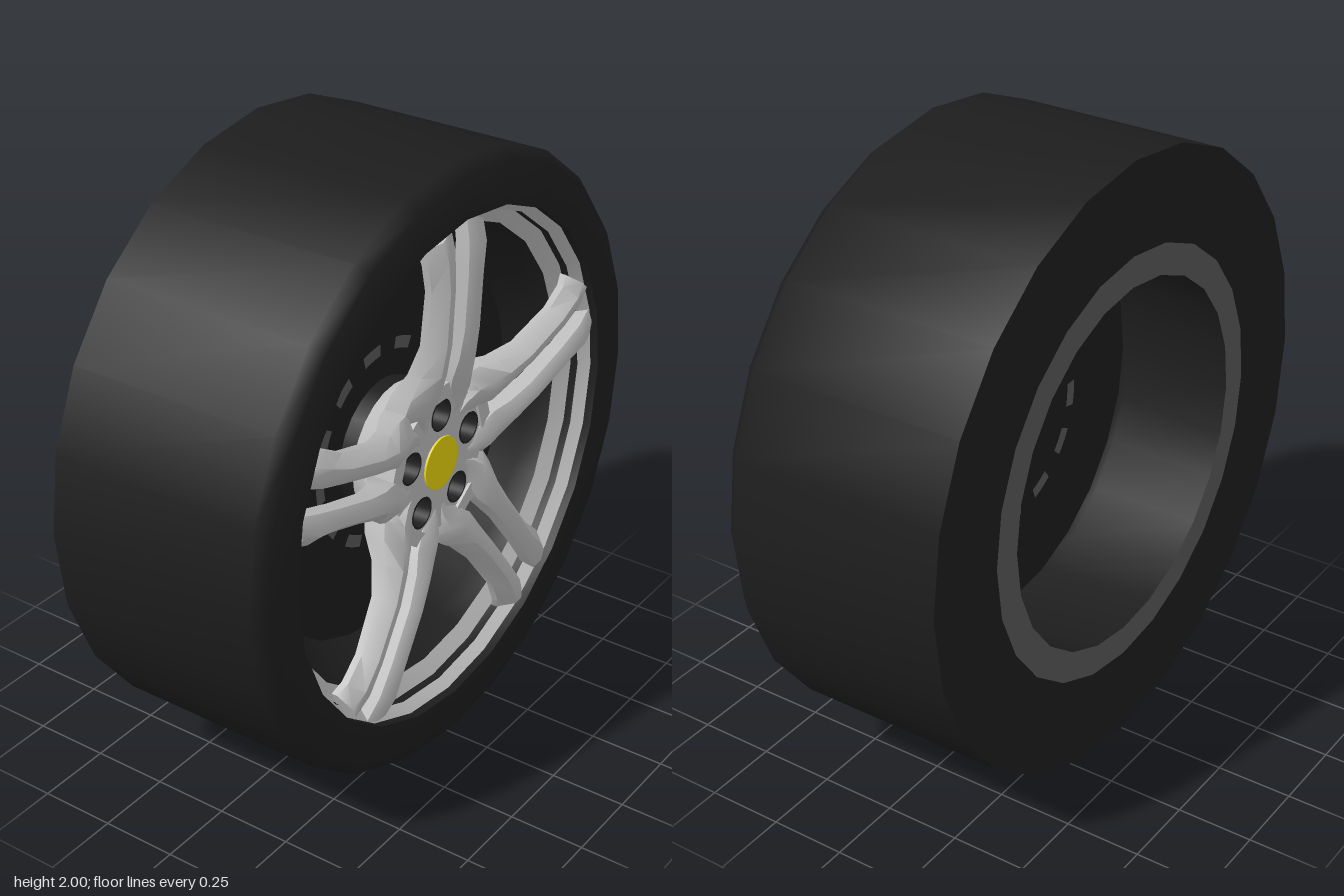
import * as THREE from 'three';
import { toCreasedNormals } from 'three/addons/utils/BufferGeometryUtils.js';

const paint = (name, color) => {
  const m = new THREE.MeshStandardMaterial({ color });
  m.name = name;
  return m;
};

export function createModel() {
  const rubber = paint('black rubber', 0x1d1d1d);
  const alloy = paint('silver alloy', 0xbcbcbc);
  const dark = paint('dark barrel', 0x1e1e1e);
  const iron = paint('brake iron', 0x1c1c1c);
  const grey = paint('mid grey', 0x585858);
  const yellow = paint('yellow cap', 0xe6d20a);

  // The wheel is built facing +z and turned to face +x at the end.
  const wheel = new THREE.Group();
  wheel.name = 'wheel';
  const add = (name, geo, mat, parent = wheel) => {
    const mesh = new THREE.Mesh(geo, mat);
    mesh.name = name;
    parent.add(mesh);
    return mesh;
  };

  // Turned part from [radius, z] points
  const turned = (points, crease = 0.6) => {
    const geo = new THREE.LatheGeometry(points.map(p => new THREE.Vector2(p[0], p[1])), 24);
    geo.rotateX(Math.PI / 2);
    return toCreasedNormals(geo, crease);
  };
  // Cylinder lying along z
  const disc = (r, z0, z1, sides = 24, r0 = r) => {
    const geo = new THREE.CylinderGeometry(r, r0, z1 - z0, sides);
    geo.rotateX(Math.PI / 2);
    geo.translate(0, 0, (z0 + z1) / 2);
    return geo;
  };

  // Tyre and rim: two silver bands with a dark groove between
  add('tyre', turned([[0.7, -0.38], [1, -0.38], [1, 0.332], [0.965, 0.373], [0.828, 0.373], [0.828, 0.33]], 0.9), rubber);
  add('rimLip', turned([[0.832, 0.35], [0.802, 0.31]]), alloy);
  add('rimGroove', turned([[0.802, 0.31], [0.8, 0.285]]), dark);
  add('rimInnerBand', turned([[0.8, 0.285], [0.752, 0.25]]), alloy);
  add('barrel', turned([[0.752, 0.25], [0.735, 0.17], [0.655, 0.07], [0.645, 0.02], [0.6, -0.38]]), dark);
  add('backFlange', turned([[0.6, -0.38], [0.7, -0.38]]), grey);

  // Brake disc, its hat and the vent slots on both faces, clear of the caliper
  add('brakeDisc', disc(0.655, 0.045, 0.075), iron);
  add('discHat', disc(0.22, 0.075, 0.2), iron);
  for (let i = 0; i < 8; i++) {
    const slot = new THREE.RingGeometry(0.305, 0.345, 5, 1, 1.1 + i * 0.5, 0.26);
    add('ventSlotFront', slot, grey).position.z = 0.078;
    const backSlot = new THREE.RingGeometry(0.305, 0.345, 5, 1, -1.36 - i * 0.5, 0.26);
    const back = add('ventSlotBack', backSlot, grey);
    back.rotation.x = Math.PI;
    back.position.z = 0.042;
  }

  // Caliper: a circle segment cut by a shallow curve
  const caliperShape = new THREE.Shape();
  caliperShape.moveTo(0.5, -0.39);
  caliperShape.absarc(0, 0, 0.645, -0.66, 1.02, false);
  caliperShape.quadraticCurveTo(0.37, 0.1, 0.5, -0.39);
  const caliper = new THREE.ExtrudeGeometry(caliperShape, { depth: 0.04, bevelEnabled: false, curveSegments: 10 });
  add('caliper', caliper, iron).position.z = 0.075;

  // Dished hub plate with five lug holes, and a cone behind it
  const lugs = [0, 1, 2, 3, 4].map(i => Math.PI / 2 + i * Math.PI * 2 / 5);
  const hubShape = new THREE.Shape();
  hubShape.absarc(0, 0, 0.235, 0, Math.PI * 2, false);
  for (const a of lugs) {
    const hole = new THREE.Path();
    hole.absarc(0.165 * Math.cos(a), 0.165 * Math.sin(a), 0.052, 0, Math.PI * 2, true);
    hubShape.holes.push(hole);
  }
  const hub = new THREE.ExtrudeGeometry(hubShape, { depth: 0.1, curveSegments: 20, bevelEnabled: false });
  add('hub', toCreasedNormals(hub, 0.6), alloy).position.z = 0.195;
  add('hubCone', disc(0.25, 0.1, 0.195, 24, 0.21), alloy);
  add('centreCap', disc(0.087, 0.27, 0.302), yellow);

  // Dark lined lug recesses with a nut and stud in each
  const lining = turned([[0.053, 0.297], [0.047, 0.297], [0.047, 0.22], [0, 0.22]]);
  for (const a of lugs) {
    const lug = new THREE.Group();
    lug.name = 'lug';
    lug.position.set(0.165 * Math.cos(a), 0.165 * Math.sin(a), 0);
    add('lugRecess', lining, dark, lug);
    add('lugNut', disc(0.026, 0.22, 0.255, 6), iron, lug);
    add('lugStud', disc(0.012, 0.25, 0.259, 8), grey, lug);
    wheel.add(lug);
  }

  // One spoke, lofted along y; stations: y inner, y outer, x inner, x outer, z top, z base
  const stations = [
    [0.13, 0.13, 0.056, 0.1, 0.292, 0.22],
    [0.17, 0.17, 0.056, 0.135, 0.304, 0.21],
    [0.23, 0.22, 0.04, 0.17, 0.322, 0.2],
    [0.28, 0.28, 0.025, 0.158, 0.337, 0.22],
    [0.35, 0.35, 0.034, 0.132, 0.355, 0.26],
    [0.45, 0.45, 0.037, 0.12, 0.37, 0.295],
    [0.63, 0.63, 0.037, 0.12, 0.378, 0.31],
    [0.74, 0.72, 0.037, 0.14, 0.378, 0.31],
    [0.828, 0.765, 0.043, 0.147, 0.36, 0.295],
  ];
  const spokeGeometry = side => {
    const pos = [], index = [], n = 6;
    for (const [yi, yo, xi, xo, zt, zb] of stations) {
      const section = [[0, zb], [0, zt - 0.02], [0.3, zt], [0.6, zt], [1, zt - 0.045], [1, zb]];
      for (const [t, z] of section) {
        pos.push(side * (xi + (xo - xi) * t), yi + (yo - yi) * t, z);
      }
    }
    const tri = (a, b, c) => (side > 0 ? index.push(a, b, c) : index.push(a, c, b));
    const last = (stations.length - 1) * n;
    for (let i = 0; i < last; i += n) {
      for (let j = 0; j < n; j++) {
        const k = (j + 1) % n;
        tri(i + j, i + k, i + n + j);
        tri(i + k, i + n + k, i + n + j);
      }
    }
    for (let j = 1; j < n - 1; j++) {
      tri(0, j + 1, j);
      tri(last, last + j, last + j + 1);
    }
    const geo = new THREE.BufferGeometry();
    geo.setAttribute('position', new THREE.Float32BufferAttribute(pos, 3));
    geo.setIndex(index);
    return toCreasedNormals(geo, 0.75);
  };
  const right = spokeGeometry(1), left = spokeGeometry(-1);

  // Five pairs of spokes, each with a web closing the slot at the hub
  const web = new THREE.BoxGeometry(0.11, 0.05, 0.1);
  web.translate(0, 0.245, 0.255);
  for (const a of lugs) {
    const pair = new THREE.Group();
    pair.name = 'spokePair';
    add('spokeRight', right, alloy, pair);
    add('spokeLeft', left, alloy, pair);
    add('slotWeb', web, alloy, pair);
    pair.rotation.z = a - Math.PI / 2;
    wheel.add(pair);
  }

  wheel.rotation.y = Math.PI / 2;
  wheel.position.y = 1;
  const model = new THREE.Group();
  model.name = 'carWheel';
  model.add(wheel);
  return model;
}
